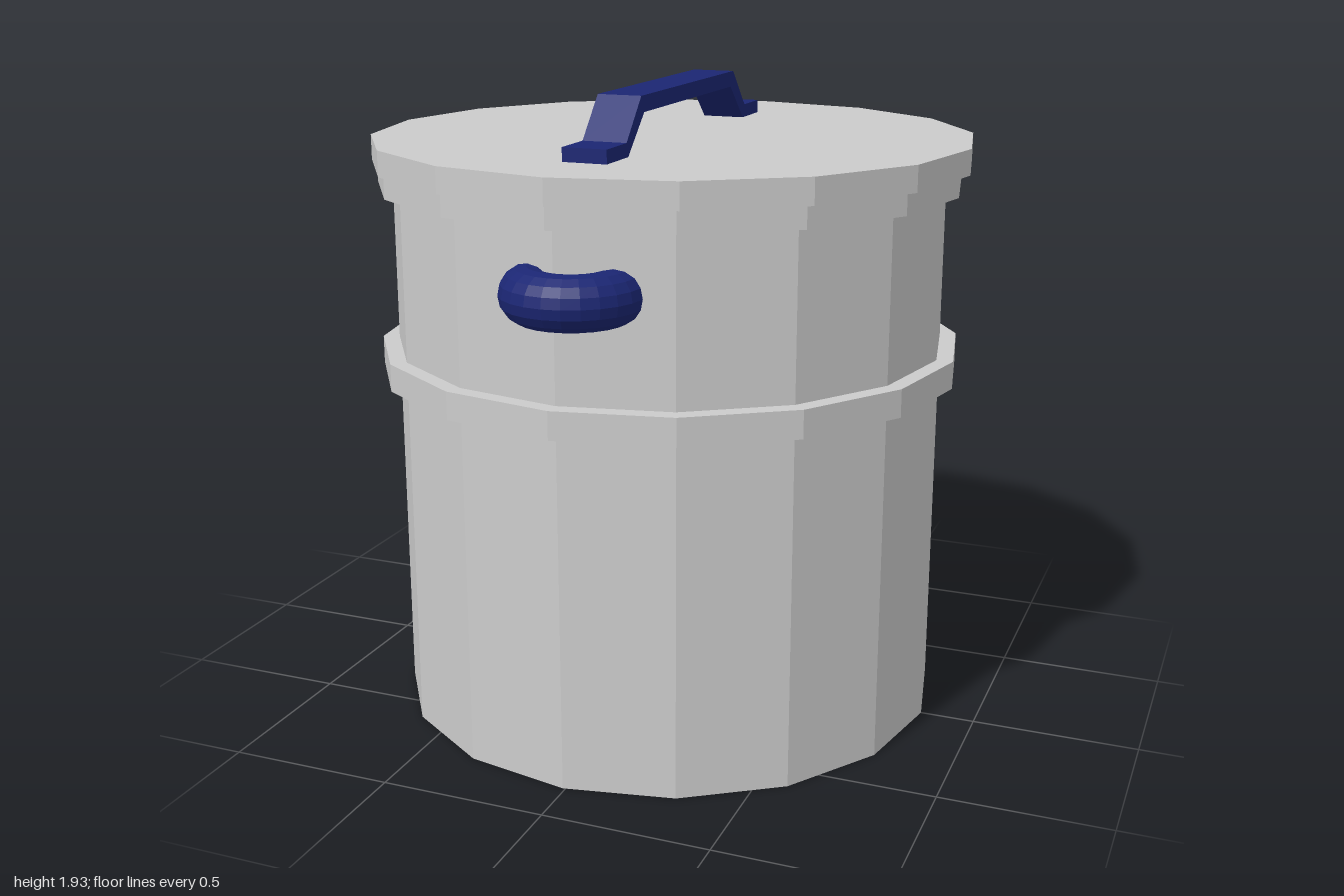
import * as THREE from 'three';

export function createModel() {
  const model = new THREE.Group();
  const steel = new THREE.MeshStandardMaterial({ color: 0xcccccc, flatShading: true });
  const navy = new THREE.MeshStandardMaterial({ color: 0x1b2673, flatShading: true });

  function add(name, geometry, material) {
    const mesh = new THREE.Mesh(geometry, material);
    mesh.name = name;
    model.add(mesh);
    return mesh;
  }

  // Sixteen-sided drum between two heights
  function drum(name, radius, bottom, top, x) {
    const geometry = new THREE.CylinderGeometry(radius, radius, top - bottom, 16);
    add(name, geometry, steel).position.set(x, (bottom + top) / 2, 0);
  }
  drum('body', 0.843, 0, 1.66, -0.008);
  drum('hoop', 0.893, 1.06, 1.143, -0.008);
  drum('bodyRim', 0.888, 1.628, 1.694, -0.008);
  drum('lid', 0.91, 1.694, 1.77, 0);

  // Bent strap on the lid: [z, y] outline extruded across x
  const outline = [
    [0.65, 1.77], [0.503, 1.77], [0.386, 1.88], [-0.33, 1.88], [-0.45, 1.77], [-0.6, 1.77],
    [-0.6, 1.81], [-0.466, 1.81], [-0.353, 1.927], [0.407, 1.927], [0.514, 1.81], [0.65, 1.81],
  ];
  const strap = new THREE.Shape(outline.map(([z, y]) => new THREE.Vector2(-z, y)));
  const strapGeometry = new THREE.ExtrudeGeometry(strap, { depth: 0.132, bevelEnabled: false });
  strapGeometry.translate(0, 0, -0.066).rotateY(Math.PI / 2);
  add('lidHandle', strapGeometry, navy);

  // Half-ring grips at front and back, ends sunk into the body
  for (const side of [1, -1]) {
    const grip = new THREE.TorusGeometry(0.123, 0.077, 16, 12, Math.PI);
    grip.rotateX(side * Math.PI / 2);
    const name = side > 0 ? 'frontGrip' : 'backGrip';
    add(name, grip, navy).position.set(0.03, 1.447, side * 0.8);
  }

  return model;
}
